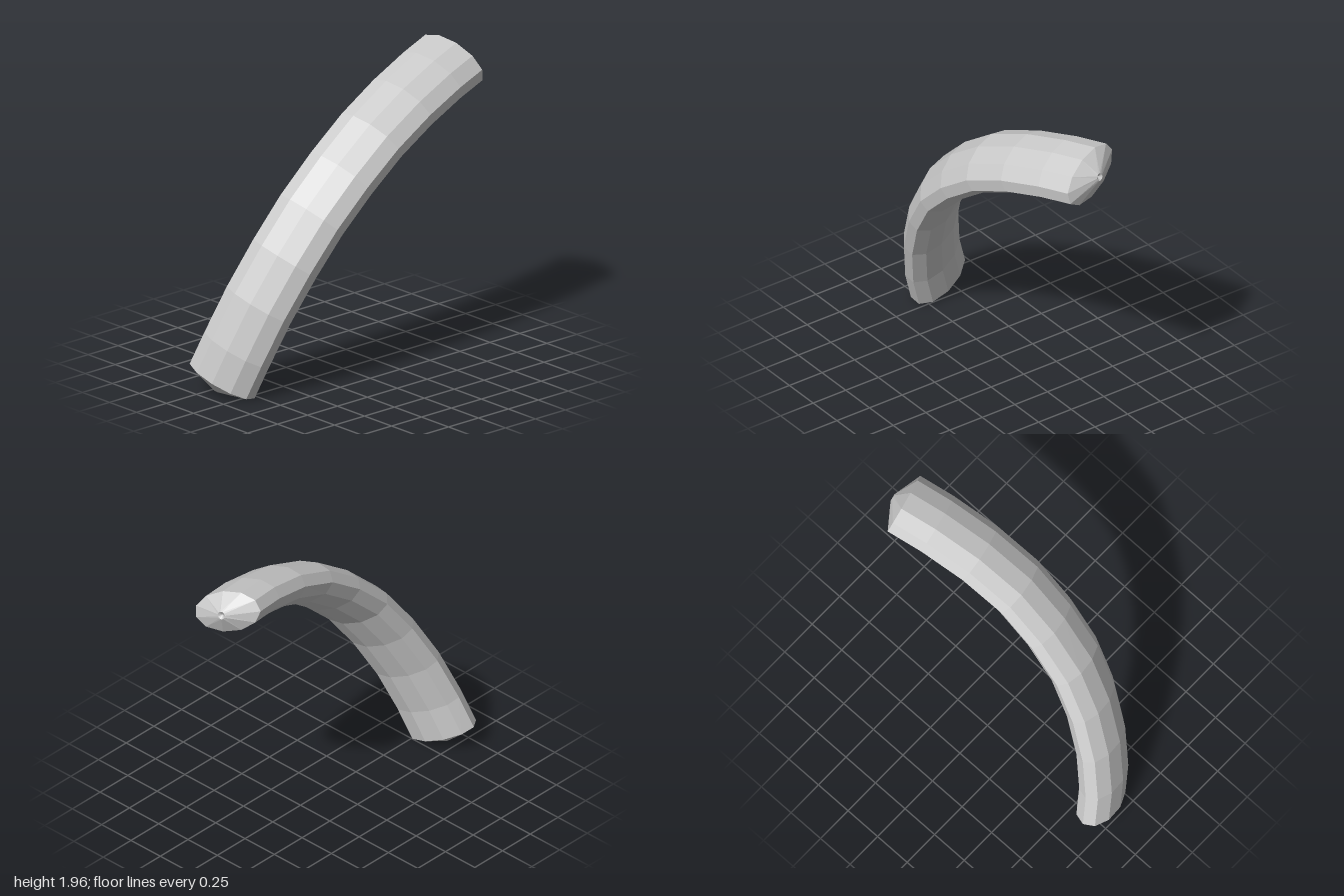
import * as THREE from 'three';

const SIDES = 11;
const PHASE = 0.13;
const WIDE = 0.24, THIN = 0.133;   // half axes of the oval section
const CAP = 0.08, TIP = 0.025;     // cap height and radius of its small dimple

// Centre line of the bent bar, lying in one tilted plane
const path = [
  [-0.87, 0.09, -0.155], [-0.82, 0.305, -0.075], [-0.715, 0.595, 0.011],
  [-0.565, 0.88, 0.083], [-0.385, 1.135, 0.13], [-0.155, 1.355, 0.147],
  [0.1, 1.54, 0.141], [0.395, 1.675, 0.1], [0.695, 1.765, 0.039], [0.925, 1.81, -0.017],
].map((p) => new THREE.Vector3(...p));
const planeNormal = new THREE.Vector3(0.29, -0.37, 0.88).normalize();

// One oval cross-section, moved along the tangent by shift
function section(i, wide, thin, shift = 0) {
  const last = path.length - 1;
  const tangent = path[Math.min(i + 1, last)].clone().sub(path[Math.max(i - 1, 0)]).normalize();
  const across = tangent.clone().cross(planeNormal).normalize();
  return Array.from({ length: SIDES }, (_, j) => {
    const a = PHASE + (j / SIDES) * Math.PI * 2;
    return path[i].clone()
      .addScaledVector(tangent, shift)
      .addScaledVector(planeNormal, wide * Math.cos(a))
      .addScaledVector(across, thin * Math.sin(a));
  });
}

// Skin a list of sections with flat triangles
function loft(sections) {
  const points = [];
  for (let i = 0; i < sections.length - 1; i++) {
    for (let j = 0; j < SIDES; j++) {
      const k = (j + 1) % SIDES;
      const a = sections[i][j], b = sections[i][k];
      const c = sections[i + 1][k], d = sections[i + 1][j];
      if (a.distanceTo(b) > 1e-6) points.push(a, b, c);
      if (c.distanceTo(d) > 1e-6) points.push(a, c, d);
    }
  }
  const geometry = new THREE.BufferGeometry().setFromPoints(points);
  geometry.computeVertexNormals();
  return geometry;
}

export function createModel() {
  const group = new THREE.Group();
  group.name = 'curvedBar';
  const material = new THREE.MeshStandardMaterial({ color: 0xcccccc, flatShading: true });
  const add = (name, sections) => {
    const mesh = new THREE.Mesh(loft(sections), material);
    mesh.name = name;
    group.add(mesh);
  };
  const last = path.length - 1;

  // Bent oval body
  add('body', path.map((_, i) => section(i, WIDE, THIN)));

  // Blunt conical caps with a small dimple at the tip
  add('lowerCap', [
    section(0, 0, 0, -CAP + 0.02),
    section(0, TIP, TIP, -CAP),
    section(0, WIDE, THIN),
  ]);
  add('upperCap', [
    section(last, WIDE, THIN),
    section(last, TIP, TIP, CAP),
    section(last, 0, 0, CAP - 0.02),
  ]);
  return group;
}
